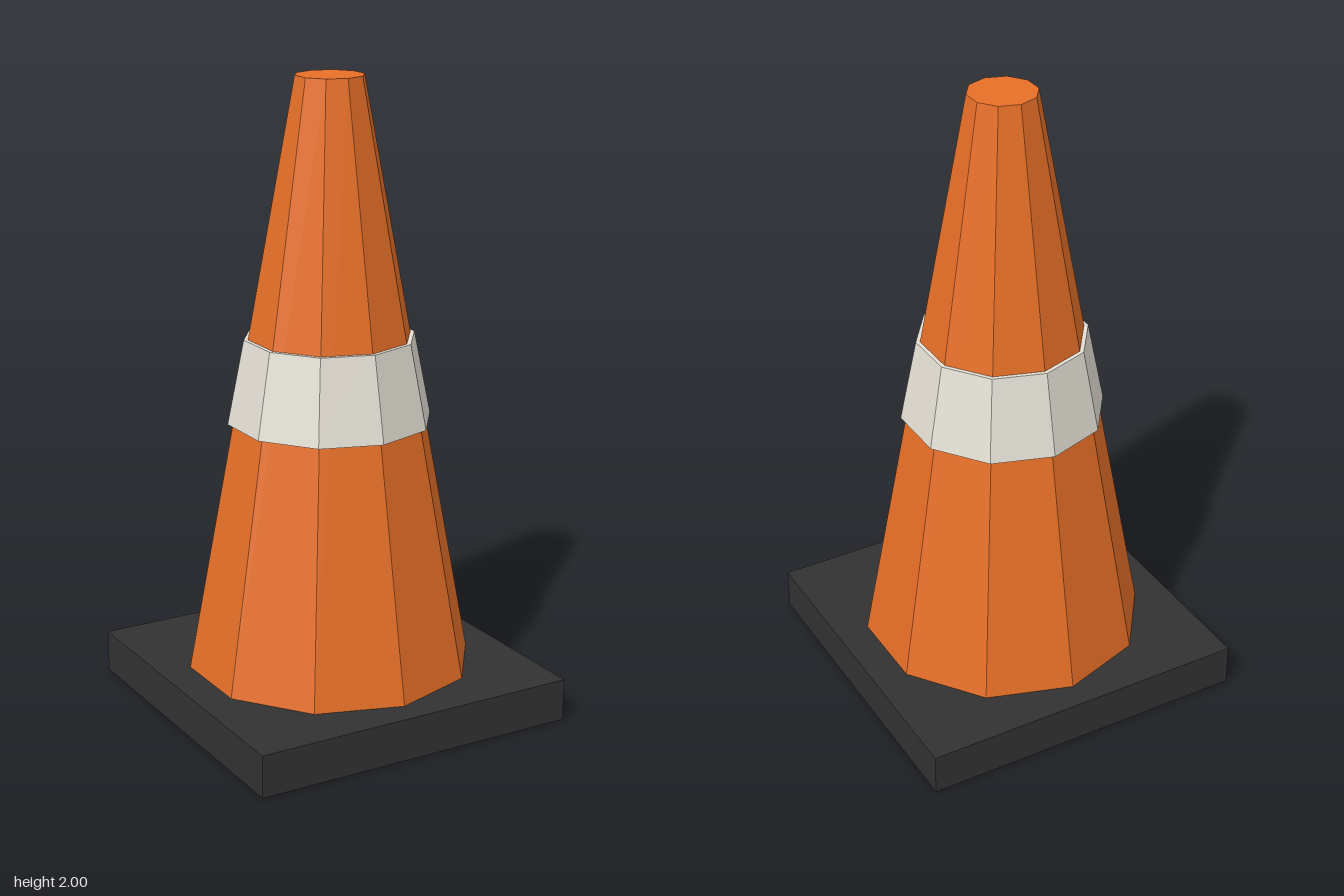
import * as THREE from 'three';

const SIDES = 10;
const BASE_HEIGHT = 0.135;
const BASE_WIDTH = 1.074;

export function createModel() {
  const material = (name, color, flatShading = true) => {
    const m = new THREE.MeshStandardMaterial({ color, flatShading });
    m.name = name;
    return m;
  };
  const orange = material('orange', 0xe66f27);
  const white = material('offWhite', 0xe4e0d5);
  const black = material('darkGrey', 0x323232);

  const group = new THREE.Group();
  group.name = 'trafficCone';

  const add = (name, geometry, mat, y) => {
    const mesh = new THREE.Mesh(geometry, mat);
    mesh.name = name;
    mesh.position.y = y;
    group.add(mesh);
  };

  // Ten-sided frustum spanning two heights
  const addFrustum = (name, mat, bottomRadius, topRadius, bottom, top) =>
    add(name, new THREE.CylinderGeometry(topRadius, bottomRadius, top - bottom, SIDES), mat, (bottom + top) / 2);

  // Square foot
  add('base', new THREE.BoxGeometry(BASE_WIDTH, BASE_HEIGHT, BASE_WIDTH), black, BASE_HEIGHT / 2);

  // Tapered body and the raised reflective collar
  addFrustum('coneBody', orange, 0.453, 0.107, BASE_HEIGHT, 2);
  addFrustum('reflectiveBand', white, 0.322, 0.269, 0.932, 1.198);

  return group;
}
